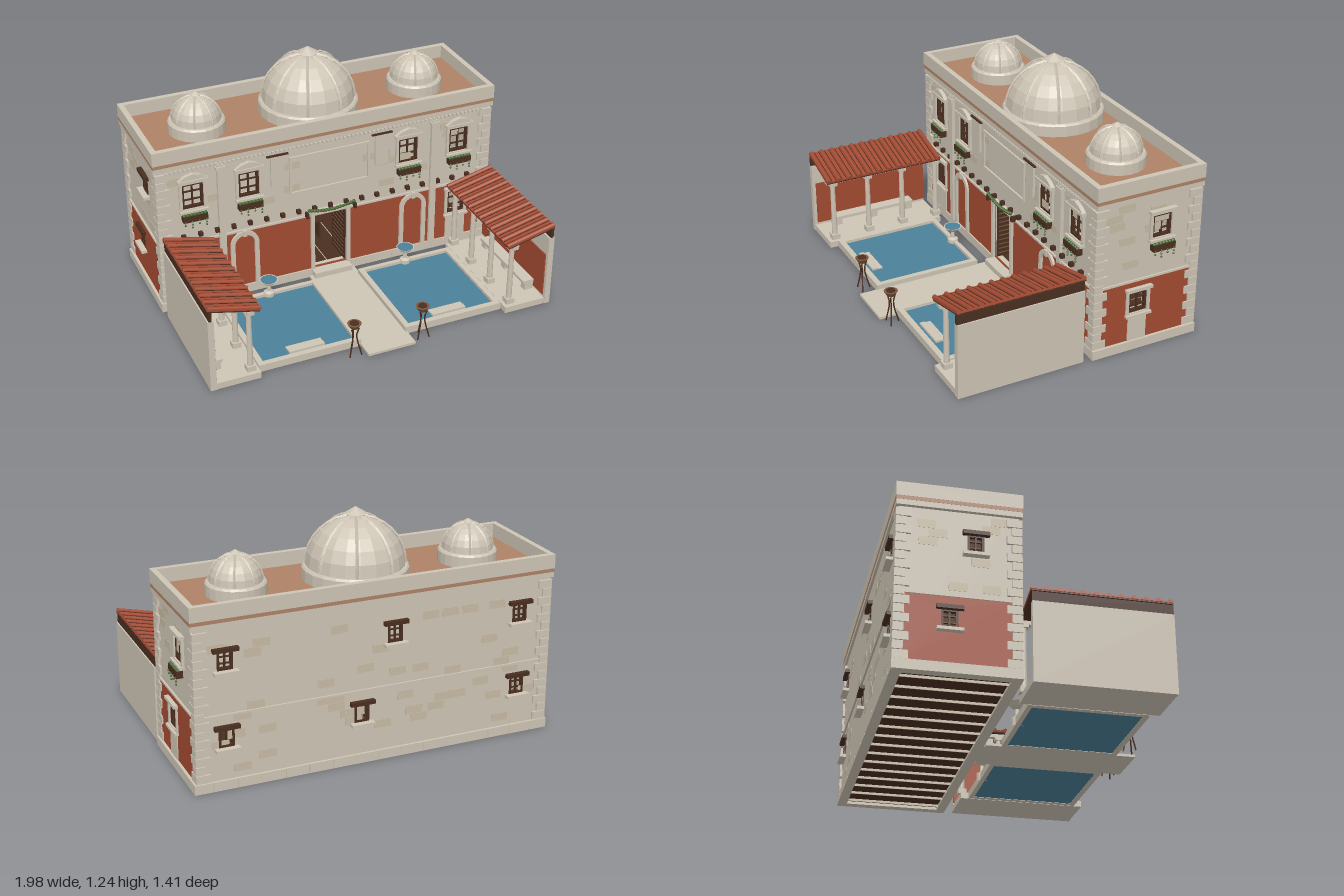
import * as THREE from 'three';

const mat = (name, color, extra = {}) => Object.assign(new THREE.MeshStandardMaterial({ color, ...extra }), { name });
const M = {
  stone: mat('stone', 0xcdc4b4, { flatShading: true }),
  worn: mat('wornStone', 0xc6baa4),
  red: mat('redPlaster', 0xa34b32),
  tile: mat('roofTile', 0xa54c34),
  clay: mat('terracottaFloor', 0xae8267),
  wood: mat('darkWood', 0x4a2e20),
  bronze: mat('bronze', 0x7d573a),
  water: mat('water', 0x4b8099),
  leaf: mat('foliage', 0x44682f),
};
const CX = -0.015, CZ = -0.39, HW = 0.95, HD = 0.29; // building centre and half sizes

function add(parent, name, geo, m, x = 0, y = 0, z = 0) {
  const mesh = new THREE.Mesh(geo, m);
  mesh.name = name;
  mesh.position.set(x, y, z);
  parent.add(mesh);
  return mesh;
}
const box = (p, name, m, w, h, d, x, y, z) => add(p, name, new THREE.BoxGeometry(w, h, d), m, x, y, z);
// box given by its min and max corners
const span = (p, name, m, x0, x1, y0, y1, z0, z1) =>
  box(p, name, m, x1 - x0, y1 - y0, z1 - z0, (x0 + x1) / 2, (y0 + y1) / 2, (z0 + z1) / 2);
const group = (p, name, x = 0, y = 0, z = 0) => {
  const g = new THREE.Group();
  g.name = name;
  g.position.set(x, y, z);
  p.add(g);
  return g;
};
const outline = (T, x0, x1, y0, y1) => {
  const s = new T();
  s.moveTo(x0, y0); s.lineTo(x1, y0); s.lineTo(x1, y1); s.lineTo(x0, y1); s.closePath();
  return s;
};
// upright slab with rectangular holes [x0, x1, y0, y1], outer face at z
function pierced(p, name, m, rect, holes, depth, z) {
  const s = outline(THREE.Shape, ...rect);
  holes.forEach(h => s.holes.push(outline(THREE.Path, ...h)));
  return add(p, name, new THREE.ExtrudeGeometry(s, { depth, bevelEnabled: false }), m, 0, 0, z - depth);
}
// rectangular ring around the building
function ring(p, name, m, hw, hd, t, y0, y1) {
  const s = outline(THREE.Shape, -hw, hw, -hd, hd);
  s.holes.push(outline(THREE.Path, -hw + t, hw - t, -hd + t, hd - t));
  const r = add(p, name, new THREE.ExtrudeGeometry(s, { depth: y1 - y0, bevelEnabled: false }), m, CX, y0, CZ);
  r.rotation.x = -Math.PI / 2;
}
const blob = new THREE.IcosahedronGeometry(0.011, 0);

// ---- windows (local x along the wall, z outward) ----
function windowBars(g, w, h) {
  pierced(g, 'windowFrame', M.wood, [-w / 2, w / 2, -h / 2, h / 2],
    [[-w / 2 + 0.012, w / 2 - 0.012, -h / 2 + 0.012, h / 2 - 0.012]], 0.02, 0.004);
  box(g, 'mullion', M.wood, 0.008, h, 0.012, 0, 0, -0.005);
  for (const k of [-1, 1]) box(g, 'glazingBar', M.wood, w, 0.006, 0.01, 0, k * h / 6, -0.005);
}
function ornateWindow(face, x, y, w, h, pediment, planter) {
  const g = group(face, 'ornateWindow', x, y, 0);
  windowBars(g, w, h);
  pierced(g, 'windowSurround', M.stone, [-w / 2 - 0.016, w / 2 + 0.016, -h / 2 - 0.012, h / 2 + 0.016],
    [[-w / 2, w / 2, -h / 2, h / 2]], 0.014, 0.014);
  box(g, 'windowCap', M.stone, w + 0.045, 0.016, 0.03, 0, h / 2 + 0.02, 0.013);
  box(g, 'windowSill', M.stone, w + 0.04, 0.014, 0.03, 0, -h / 2 - 0.012, 0.013);
  if (pediment) {
    const a = w / 2 + 0.022, s = new THREE.Shape();
    s.moveTo(-a, 0); s.lineTo(a, 0); s.lineTo(a * 0.55, 0.024); s.lineTo(0, 0.036); s.lineTo(-a * 0.55, 0.024);
    add(g, 'pediment', new THREE.ExtrudeGeometry(s, { depth: 0.022, bevelEnabled: false }), M.stone, 0, h / 2 + 0.026, 0);
  }
  if (planter) {
    box(g, 'planter', M.wood, w + 0.018, 0.036, 0.035, 0, -h / 2 - 0.045, 0.024);
    for (let i = 0; i < 7; i++) {
      const px = (i / 6 - 0.5) * w;
      add(g, 'plant', blob, M.leaf, px, -h / 2 - 0.025, 0.03);
      if (i % 2 === 0) for (let k = 0; k < 2 + (i % 4) / 2; k++)
        add(g, 'trailingLeaf', blob, M.leaf, px, -h / 2 - 0.06 - k * 0.017, 0.041).scale.setScalar(0.55);
    }
  }
}
function smallWindow(face, x, y, w, h) {
  const g = group(face, 'smallWindow', x, y, 0);
  windowBars(g, w, h);
  box(g, 'lintel', M.wood, w + 0.05, 0.02, 0.03, 0, h / 2 + 0.006, 0.01);
  box(g, 'sill', M.stone, w + 0.045, 0.016, 0.04, 0, -h / 2 - 0.008, 0.015);
}
const hole = ([x, y, w, h]) => [x - w / 2, x + w / 2, y - h / 2, y + h / 2];

function dome(p, x, r, name) {
  const g = group(p, name, x, 0, CZ), k = r / 0.25;
  const drum = [[r + 0.02, 0.88], [r + 0.02, 0.94], [r + 0.012, 0.95], [r - 0.01, 0.95]].map(a => new THREE.Vector2(...a));
  add(g, 'drum', new THREE.LatheGeometry(drum, 24), M.stone);
  add(g, 'shell', new THREE.SphereGeometry(r, 20, 6, 0, Math.PI * 2, 0, Math.PI / 2), M.stone, 0, 0.95, 0);
  for (let i = 0; i < 8; i++)
    add(g, 'rib', new THREE.TorusGeometry(r, 0.008 * Math.sqrt(k), 4, 8, Math.PI / 2), M.stone, 0, 0.95, 0)
      .rotation.y = (i + 0.5) * Math.PI / 4;
  const top = 0.95 + r;
  add(g, 'collar', new THREE.CylinderGeometry(0.035 * k, 0.045 * k, 0.03 * k, 12), M.stone, 0, top, 0);
  add(g, 'finial', new THREE.ConeGeometry(0.055 * k, 0.034 * k, 12), M.stone, 0, top + 0.026 * k, 0);
}

function portico(p, side) {
  const g = group(p, side < 0 ? 'rightPortico' : 'leftPortico', CX, 0, 0);
  const sp = (n, m, a, b, ...r) => span(g, n, m, Math.min(a * side, b * side), Math.max(a * side, b * side), ...r);
  sp('porticoFloor', M.stone, 0.69, 0.955, 0, 0.035, -0.042, 0.645);
  sp('porticoWall', M.stone, 0.925, 0.957, 0, 0.41, -0.042, 0.648);
  sp('porticoDado', M.red, 0.919, 0.925, 0.05, 0.3, -0.04, 0.63);
  sp('roofFascia', M.wood, 0.935, 0.95, 0.41, 0.465, -0.042, 0.648);
  sp('eavesBeam', M.stone, 0.715, 0.75, 0.385, 0.405, -0.05, 0.64);
  sp('bench', M.stone, 0.855, 0.92, 0.075, 0.092, 0.06, 0.54);
  for (const z of [0.08, 0.3, 0.52]) sp('benchLeg', M.stone, 0.865, 0.915, 0.035, 0.075, z - 0.02, z + 0.02);
  for (const z of [0.6, 0.39, 0.18, -0.03]) {
    const c = group(g, 'column', side * 0.732, 0, z);
    add(c, 'shaft', new THREE.CylinderGeometry(0.013, 0.016, 0.34, 12), M.stone, 0, 0.21, 0);
    box(c, 'base', M.stone, 0.046, 0.03, 0.046, 0, 0.05, 0);
    box(c, 'capital', M.stone, 0.044, 0.018, 0.044, 0, 0.378, 0);
  }
  // sloping tiled roof
  const roof = group(g, 'tiledRoof', side * 0.82, 0.44, 0.3);
  roof.rotation.z = side * 0.235;
  box(roof, 'roofBoards', M.wood, 0.274, 0.008, 0.69, 0, -0.004, 0);
  box(roof, 'tileBed', M.tile, 0.278, 0.01, 0.695, 0, 0.005, 0);
  const ridge = new THREE.CylinderGeometry(0.012, 0.012, 0.28, 8);
  for (let i = 0; i < 12; i++) {
    const z = -0.335 + i * 0.061;
    add(roof, 'ridgeTile', ridge, M.tile, 0, 0.01, z).rotation.z = Math.PI / 2;
    if (i < 11) box(roof, 'tileSeam', M.wood, 0.27, 0.004, 0.004, 0, 0.01, z + 0.018);
    if (i < 11) box(roof, 'tileSeam', M.wood, 0.27, 0.004, 0.004, 0, 0.01, z + 0.043);
  }
}

function pool(p, side) {
  const x = CX + side * 0.405, g = group(p, 'pool', x, 0, 0);
  const s = outline(THREE.Shape, -0.28, 0.28, -0.6, 0);
  s.holes.push(outline(THREE.Path, -0.25, 0.25, -0.57, -0.025));
  add(g, 'poolRim', new THREE.ExtrudeGeometry(s, { depth: 0.04, bevelEnabled: false }), M.stone).rotation.x = -Math.PI / 2;
  span(g, 'poolWater', M.water, -0.25, 0.25, 0.002, 0.024, 0.025, 0.57);
  span(g, 'poolStep', M.stone, -0.097, 0.097, 0.01, 0.03, 0.49, 0.518);
  span(g, 'poolStep', M.stone, -0.097, 0.097, 0.01, 0.036, 0.522, 0.55);
  // basin fountain at the head of the pool
  const f = group(g, 'basin', 0, 0, 0.015);
  const prof = [[0.03, 0], [0.03, 0.045], [0.012, 0.055], [0.01, 0.09], [0.03, 0.102], [0.05, 0.122], [0.045, 0.122], [0.03, 0.112]];
  add(f, 'basinBowl', new THREE.LatheGeometry(prof.map(a => new THREE.Vector2(...a)), 16), M.stone);
  add(f, 'basinWater', new THREE.CylinderGeometry(0.046, 0.046, 0.003, 16), M.water, 0, 0.12, 0);
}

function brazier(p, x) {
  const g = group(p, 'brazier', x, 0, 0.655);
  for (let i = 0; i < 3; i++) {
    const a = i * Math.PI * 2 / 3 + 0.5, at = (r, y) => new THREE.Vector3(r * Math.cos(a), y, r * Math.sin(a));
    const pts = [at(0.038, 0.002), at(0.012, 0.12), at(0.025, 0.17)];
    add(g, 'leg', new THREE.TubeGeometry(new THREE.CatmullRomCurve3(pts), 8, 0.004, 5), M.wood);
  }
  add(g, 'fireBowl', new THREE.CylinderGeometry(0.037, 0.02, 0.028, 12), M.bronze, 0, 0.18, 0);
  add(g, 'embers', new THREE.CylinderGeometry(0.024, 0.024, 0.006, 10), M.wood, 0, 0.194, 0);
}

export function createModel() {
  const root = new THREE.Group();
  root.name = 'bathHouse';
  const house = group(root, 'house');
  const face = (name, x, z, r) => { const g = group(house, name, x, 0, z); g.rotation.y = r; return g; };
  const front = face('frontWall', CX, CZ + HD, 0), back = face('backWall', CX, CZ - HD, Math.PI);
  const left = face('leftWall', CX + HW, CZ, Math.PI / 2), right = face('rightWall', CX - HW, CZ, -Math.PI / 2);

  // front wall: windows [x, y, width, height], door, niches, panels
  const up = [-0.766, -0.46, 0.46, 0.766].map(x => [x, 0.668, 0.115, 0.145]);
  const low = [-0.766, 0.766].map(x => [x, 0.275, 0.105, 0.14]);
  const door = [-0.095, 0.095, 0.05, 0.4];
  pierced(front, 'frontMasonry', M.stone, [-HW, HW, 0.03, 0.84], [...up, ...low].map(hole).concat([door]), 0.04, 0);
  pierced(front, 'redPlaster', M.red, [-0.93, 0.93, 0.05, 0.385], [...low.map(hole), [-0.095, 0.095, 0.06, 0.38]], 0.006, 0.005);
  up.forEach(w => ornateWindow(front, ...w, true, true));
  low.forEach(w => {
    ornateWindow(front, ...w, false, false);
    span(front, 'windowApron', M.stone, w[0] - 0.06, w[0] + 0.06, 0.05, 0.2, 0, 0.012);
  });
  pierced(front, 'doorSurround', M.stone, [-0.115, 0.115, 0.05, 0.42], [[-0.095, 0.095, 0.05, 0.4]], 0.03, 0.02);
  for (const s of [-1, 1]) {
    // door leaf standing open, with slats
    const leaf = group(front, 'doorLeaf', s * 0.094, 0, -0.09);
    box(leaf, 'leafBoard', M.wood, 0.008, 0.345, 0.17, 0, 0.225, 0);
    for (let i = 0; i < 12; i++) box(leaf, 'slat', M.bronze, 0.011, 0.006, 0.15, 0, 0.075 + i * 0.027, 0);
    box(front, 'pilaster', M.stone, 0.036, 0.77, 0.02, s * 0.615, 0.435, 0.009);
    box(front, 'pilasterCapital', M.stone, 0.05, 0.018, 0.03, s * 0.615, 0.8, 0.011);
    box(front, 'sidePanel', M.stone, 0.075, 0.18, 0.012, s * 0.3, 0.71, 0.008);
    box(front, 'panelRod', M.wood, 0.12, 0.008, 0.012, s * 0.3, 0.805, 0.014);
    box(front, 'wallLamp', M.wood, 0.014, 0.03, 0.03, s * 0.14, 0.405, 0.02);
    // arched niche surround
    const a = new THREE.Shape();
    a.moveTo(-0.08, 0.05); a.lineTo(-0.08, 0.31); a.absarc(0, 0.31, 0.08, Math.PI, 0, true); a.lineTo(0.08, 0.05);
    a.lineTo(0.056, 0.05); a.lineTo(0.056, 0.31); a.absarc(0, 0.31, 0.056, 0, Math.PI, false); a.lineTo(-0.056, 0.05);
    add(front, 'nicheArch', new THREE.ExtrudeGeometry(a, { depth: 0.018, bevelEnabled: false, curveSegments: 10 }), M.stone, s * 0.495, 0, 0);
    box(front, 'nicheKeystone', M.stone, 0.022, 0.034, 0.026, s * 0.495, 0.378, 0.012);
  }
  pierced(front, 'panelFrame', M.stone, [-0.232, 0.232, 0.545, 0.77], [[-0.22, 0.22, 0.557, 0.758]], 0.01, 0.01);
  for (let i = -9; i <= 9; i++) box(front, 'beamEnd', M.wood, 0.022, 0.022, 0.026, i * 0.092, 0.434, 0.01);
  for (let i = 0; i < 76; i++) box(front, 'dentil', M.stone, 0.013, 0.014, 0.016, -0.9 + i * 0.024, 0.825, 0.008);
  for (let i = 0; i <= 16; i++) {
    const t = i / 8 - 1;
    add(front, 'garland', blob, M.leaf, t * 0.13, 0.418 + t * t * 0.018, 0.03);
  }

  // back wall
  const rear = [-0.8, 0.785].flatMap(x => [[x, 0.67, 0.08, 0.1], [x, 0.272, 0.08, 0.1]]);
  rear.push([0.085, 0.67, 0.08, 0.1], [-0.092, 0.272, 0.08, 0.1]);
  pierced(back, 'backMasonry', M.stone, [-HW, HW, 0.03, 0.84], rear.map(hole), 0.04, 0);
  rear.forEach(w => smallWindow(back, ...w));

  // side walls
  const sides = [[left, [0.075, 0.67, 0.108, 0.125], [-0.045, 0.268, 0.105, 0.115]],
    [right, [0.08, 0.67, 0.08, 0.1], [-0.04, 0.272, 0.08, 0.1]]];
  sides.forEach(([f, u, l]) => {
    pierced(f, 'sideMasonry', M.stone, [-HD + 0.04, HD - 0.04, 0.03, 0.84], [hole(u), hole(l)], 0.04, 0);
    pierced(f, 'redPlaster', M.red, [-0.26, 0.26, 0.05, 0.385], [hole(l)], 0.006, 0.005);
    if (f === right) { smallWindow(f, ...u); smallWindow(f, ...l); return; }
    ornateWindow(f, ...u, false, true);
    ornateWindow(f, ...l, false, false);
    span(f, 'windowApron', M.stone, l[0] - 0.053, l[0] + 0.053, 0.05, 0.2, 0, 0.01);
  });

  // scattered weathered blocks
  let seed = 7;
  const rnd = () => (seed = (seed * 16807) % 2147483647) / 2147483647;
  for (const [f, hw, n, lows] of [[front, 0.85, 16, 0.47], [back, 0.85, 44, 0.08], [left, 0.2, 8, 0.42], [right, 0.2, 8, 0.42]])
    for (let i = 0; i < n; i++)
      box(f, 'wornBlock', M.worn, 0.09, 0.043, 0.003, (rnd() * 2 - 1) * hw, lows + 0.022 + Math.floor(rnd() * (0.8 - lows) / 0.045) * 0.045, 0);

  // corner stones, plinth, belt course, parapet
  for (const sx of [-1, 1]) for (const sz of [-1, 1]) for (let i = 0; i < 17; i++) {
    const a = i % 2 ? 0.05 : 0.074;
    box(house, 'cornerStone', M.stone, a, 0.042, a, CX + sx * (HW + 0.012 - a / 2), 0.075 + i * 0.0455, CZ + sz * (HD + 0.012 - a / 2));
  }
  ring(house, 'plinth', M.stone, 0.97, 0.303, 0.05, 0, 0.05);
  for (let i = -7; i <= 7; i++) box(house, 'plinthJoint', M.worn, 0.004, 0.046, 0.607, CX + i * 0.125, 0.025, CZ);
  ring(house, 'beltCourse', M.stone, HW + 0.01, HD + 0.01, 0.03, 0.385, 0.396);
  box(house, 'groundFloor', M.wood, 1.87, 0.03, 0.53, CX, 0.03, CZ);
  ring(house, 'cornice', M.stone, 0.97, 0.303, 0.06, 0.836, 0.864);
  box(house, 'roofSlab', M.clay, 1.942, 0.019, 0.608, CX, 0.8735, CZ);
  ring(house, 'parapet', M.stone, 0.972, 0.305, 0.03, 0.883, 0.957);

  // table inside the doorway
  box(house, 'tableTop', M.wood, 0.11, 0.008, 0.08, 0, 0.16, -0.4);
  for (const x of [-0.04, 0.04]) box(house, 'tableLeg', M.wood, 0.01, 0.115, 0.06, x, 0.1, -0.4);

  dome(house, CX, 0.25, 'mainDome');
  for (const s of [-1, 1]) {
    dome(house, CX + s * 0.632, 0.132, 'smallDome');
    portico(root, s);
    pool(root, s);
    brazier(root, CX + s * 0.191);
  }
  // entrance path and step
  span(root, 'walkway', M.stone, -0.145, 0.12, 0, 0.014, -0.08, 0.7);
  span(root, 'doorStep', M.stone, -0.125, 0.095, 0, 0.045, -0.1, -0.04);
  return root;
}
